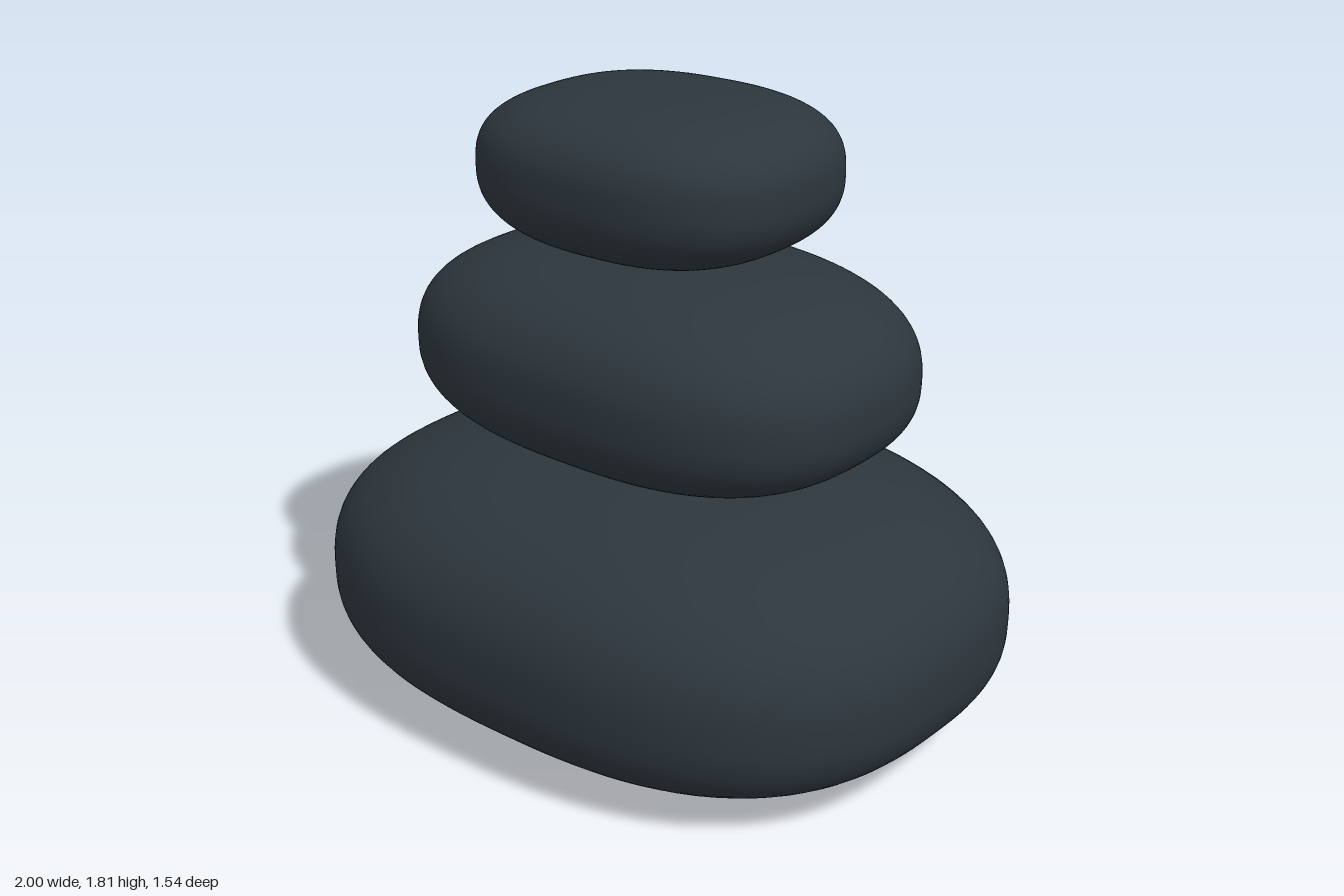
import * as THREE from 'three';
import { mergeVertices } from 'three/addons/utils/BufferGeometryUtils.js';

// Rounded pebble: a cube pushed onto a superellipsoid.
// The upper and lower halves have their own height and vertical roundness.
function pebbleGeometry({ rx, rz, up, down, round, roundUp, roundDown, tilt = 0, floor = -Infinity }) {
  const box = new THREE.BoxGeometry(2, 2, 2, 28, 28, 28);
  box.deleteAttribute('uv');
  box.deleteAttribute('normal');
  const geo = mergeVertices(box, 1e-4);
  const pos = geo.attributes.position;
  const p = new THREE.Vector3();
  for (let i = 0; i < pos.count; i++) {
    p.fromBufferAttribute(pos, i);
    // even out the grid before rounding
    p.set(Math.tan(p.x * Math.PI / 4), Math.tan(p.y * Math.PI / 4), Math.tan(p.z * Math.PI / 4));
    const v = p.y > 0 ? roundUp : roundDown;
    const flat = Math.pow(Math.abs(p.x) ** round + Math.abs(p.z) ** round, 1 / round);
    p.divideScalar(Math.pow(flat ** v + Math.abs(p.y) ** v, 1 / v));
    const y = p.y * (p.y > 0 ? up : down) + tilt * p.x * rx;
    pos.setXYZ(i, p.x * rx, Math.max(y, floor), p.z * rz);
  }
  geo.computeVertexNormals();
  return geo;
}

export function createModel() {
  const group = new THREE.Group();
  group.name = 'stackedStones';
  const slate = new THREE.MeshStandardMaterial({ color: 0x2d363d });
  slate.name = 'darkSlate';

  const stones = [
    // wide base stone, resting flat on the ground
    { name: 'bottomStone', at: [0, 0.35, 0], rx: 1, rz: 0.772, up: 0.428, down: 0.358,
      round: 2.6, roundUp: 2.5, roundDown: 2.8, floor: -0.35 },
    { name: 'middleStone', at: [0, 1.055, 0], rx: 0.74, rz: 0.52, up: 0.307, down: 0.283,
      round: 2.6, roundUp: 2.5, roundDown: 2.6 },
    // small top stone, leaning slightly
    { name: 'topStone', at: [-0.02, 1.59, 0], rx: 0.514, rz: 0.405, up: 0.214, down: 0.236,
      round: 2.5, roundUp: 2.8, roundDown: 2.5, tilt: 0.025 },
  ];
  for (const stone of stones) {
    const mesh = new THREE.Mesh(pebbleGeometry(stone), slate);
    mesh.name = stone.name;
    mesh.position.set(...stone.at);
    group.add(mesh);
  }
  return group;
}
